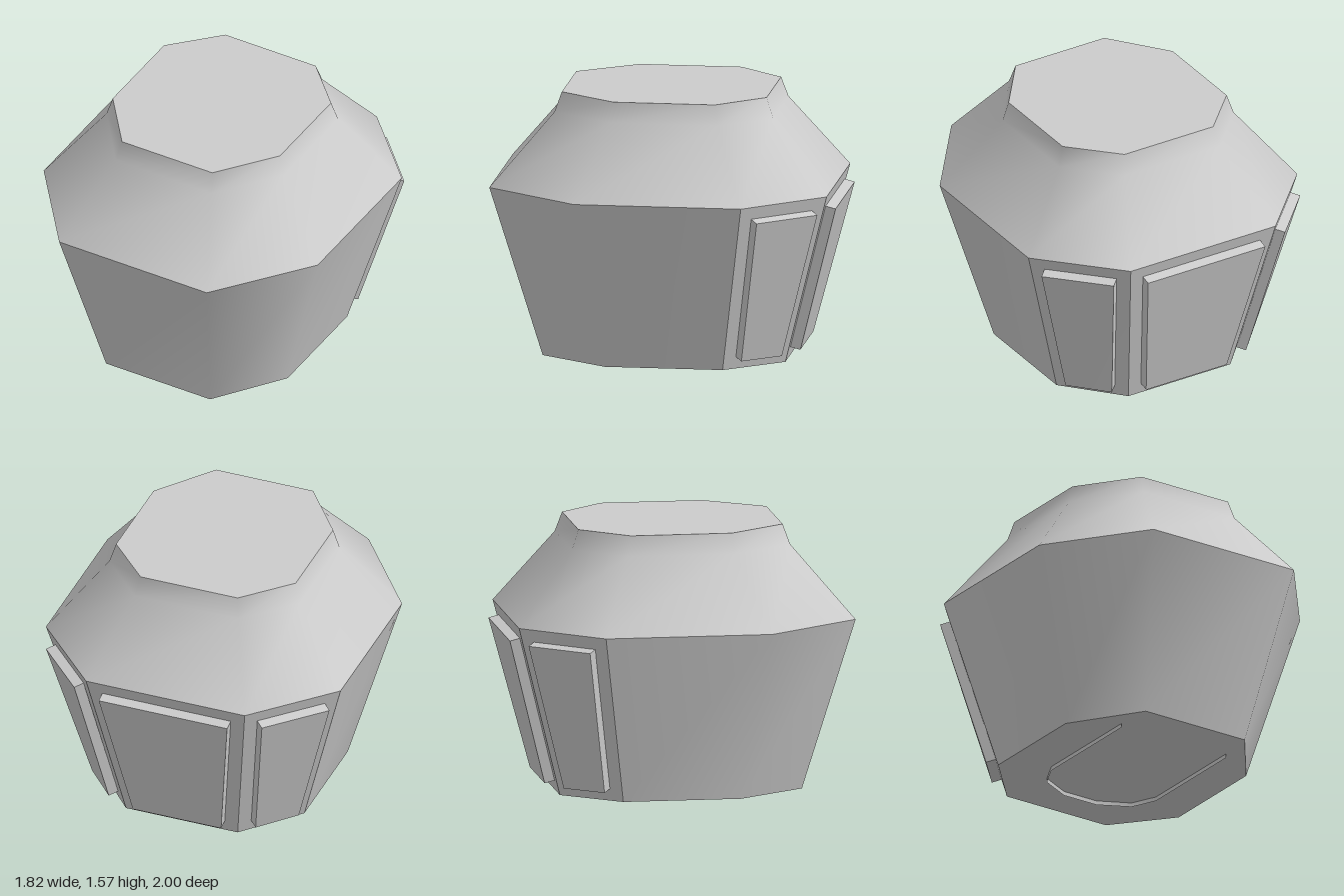
import * as THREE from 'three';

// Octagon cross-section: half width, half width of the end faces,
// front z, front corner z, back corner z, back z (counter-clockwise seen from above)
function ring(y, w, c, zf, cf, cb, zb) {
  return [[-c, zf], [c, zf], [w, cf], [w, cb], [c, zb], [-c, zb], [-w, cb], [-w, cf]]
    .map(([x, z]) => new THREE.Vector3(x, y, z));
}

// Surface through rows of points, bottom row first, normals shared along it
function loft(rows, closed = false) {
  const n = rows[0].length, index = [];
  for (let r = 0; r < rows.length - 1; r++) {
    for (let i = 0; i < (closed ? n : n - 1); i++) {
      const j = (i + 1) % n, a = r * n + i, b = r * n + j;
      index.push(a, b, b + n, a, b + n, a + n);
    }
  }
  const g = new THREE.BufferGeometry().setFromPoints(rows.flat());
  g.setIndex(index);
  g.computeVertexNormals();
  return g;
}

// Flat polygon closing a ring
function cap(points, up) {
  const index = [];
  for (let i = 1; i < points.length - 1; i++) index.push(0, up ? i : i + 1, up ? i + 1 : i);
  const g = new THREE.BufferGeometry().setFromPoints(points);
  g.setIndex(index);
  g.computeVertexNormals();
  return g;
}

// Raised plate on a wall quad (corners: bottom a, b and top d, c)
function plate(a, b, c, d, inset, depth) {
  const normal = b.clone().sub(a).cross(d.clone().sub(a)).normalize();
  const row = (t) => {
    const p = a.clone().lerp(d, t), q = b.clone().lerp(c, t);
    const s = inset / p.distanceTo(q);
    return [p.clone().lerp(q, s), p.clone().lerp(q, 1 - s)];
  };
  const [p0, p1] = row(0.073), [p3, p2] = row(0.927);
  const base = [p0, p1, p2, p3];
  const top = base.map((p) => p.clone().addScaledVector(normal, depth));
  const sides = loft([base, top], true).toNonIndexed();
  sides.computeVertexNormals();
  return [sides, cap(top, true)];
}

export function createModel() {
  const model = new THREE.Group();
  const grey = new THREE.MeshStandardMaterial({ color: 0xcccccc });
  const thin = new THREE.MeshStandardMaterial({ color: 0xcccccc, side: THREE.DoubleSide });
  const add = (name, geometry, parent = model, material = grey) => {
    const mesh = new THREE.Mesh(geometry, material);
    mesh.name = name;
    parent.add(mesh);
  };

  const base = ring(0.025, 0.63, 0.345, 0.71, 0.31, -0.375, -0.7);
  const rim = ring(1.03, 0.91, 0.49, 1.0, 0.45, -0.52, -0.96);
  const shoulder = ring(1.45, 0.59, 0.32, 0.645, 0.28, -0.34, -0.625);
  const neck = ring(1.565, 0.555, 0.3, 0.605, 0.27, -0.32, -0.585);

  // Smooth wall around the front and both sides
  const order = [6, 7, 0, 1, 2, 3];
  add('frontWall', loft([order.map((i) => base[i]), order.map((i) => rim[i])]));

  // Flat back walls, each with a raised plate
  ['backLeft', 'back', 'backRight'].forEach((name, k) => {
    const i = 3 + k;
    add(name + 'Wall', loft([[base[i], base[i + 1]], [rim[i], rim[i + 1]]]));
    const panel = new THREE.Group();
    panel.name = name + 'Panel';
    const [sides, face] = plate(base[i], base[i + 1], rim[i + 1], rim[i], 0.083, 0.06);
    add('panelSides', sides, panel);
    add('panelFace', face, panel);
    model.add(panel);
  });

  // Sloping shoulder and neck, then the flat ends
  add('shoulder', loft([rim, shoulder, neck], true));
  add('topCap', cap(neck, true));
  add('bottomCap', cap(base, false));

  // Thin U-shaped rib under the base, open at the front
  const path = [[0.365, 0.49]];
  for (let i = 0; i <= 5; i++) {
    const a = (i / 5) * Math.PI;
    path.push([0.365 * Math.cos(a), -0.22 - 0.25 * Math.sin(a)]);
  }
  path.push([-0.365, 0.49]);
  const row = (y) => path.map(([x, z]) => new THREE.Vector3(x, y, z));
  add('bottomRib', loft([row(0), row(0.025)]), model, thin);

  return model;
}
